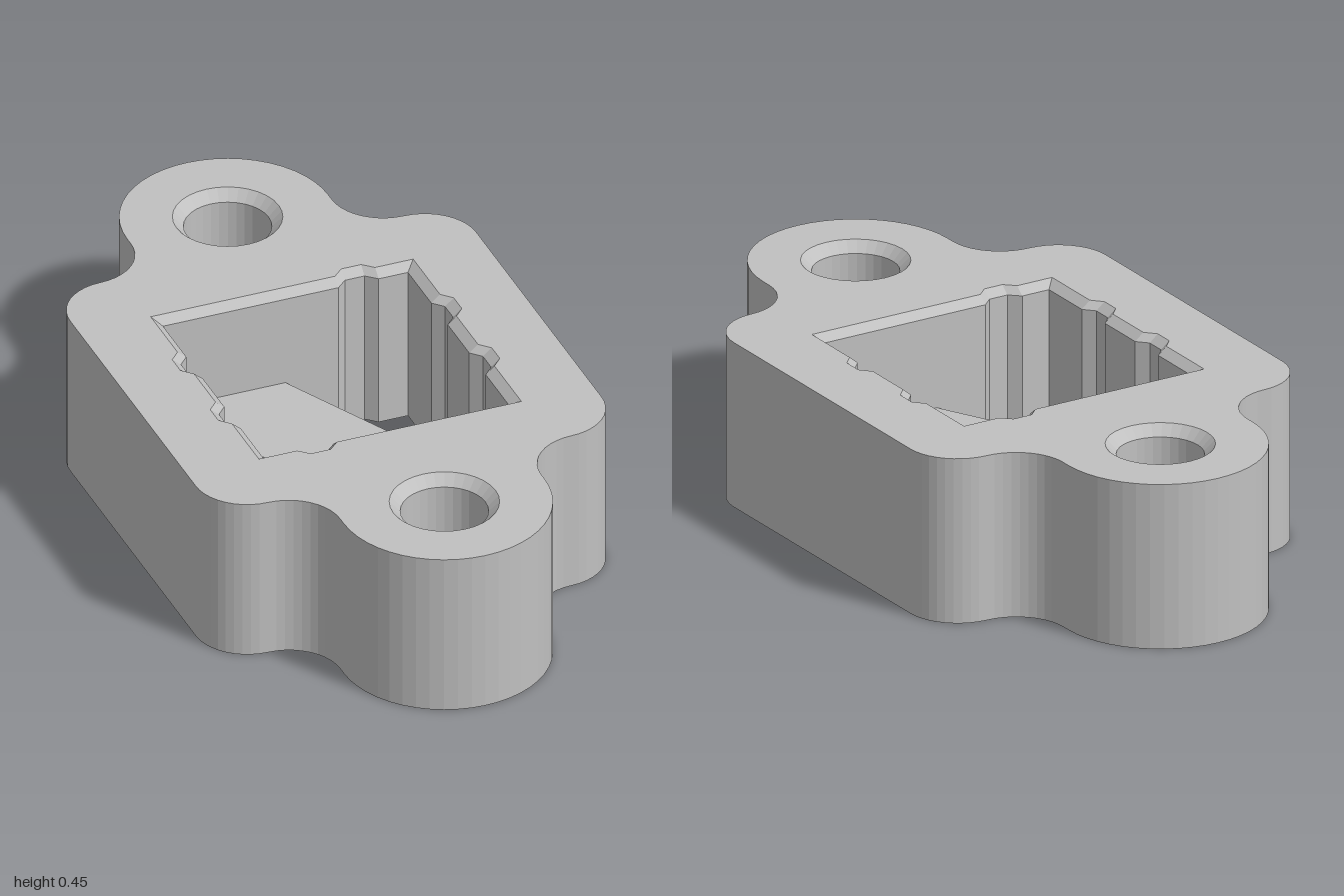
import * as THREE from 'three';

const H = 0.45, CHAMFER_Y = 0.43, FLOOR = 0.18, HOLE_FLOOR = 0.1;
const W = 0.335, D = 0.338, HOLE_Z = 0.725;

const P = (x, z) => new THREE.Vector2(x, z);

// Points are (x, z), running from +x towards +z.
function arc(cx, cz, r, a0, a1, n) {
  return Array.from({ length: n + 1 }, (_, i) => {
    const a = THREE.MathUtils.degToRad(a0 + (a1 - a0) * i / n);
    return P(cx + r * Math.cos(a), cz + r * Math.sin(a));
  });
}
const circle = (z, r) => arc(0, z, r, 0, 360, 32).slice(0, -1);
const withOpposite = half => [...half, ...half.map(p => P(-p.x, -p.y))];

// Rounded body flowing through concave fillets into two round ears
function outlineLoop() {
  const side = [...arc(0.415, 0.42, 0.14, 0, 90, 10), ...arc(0.415, 0.7, 0.14, -90, -180, 10).slice(1)];
  const mirrored = side.map(p => P(-p.x, p.y)).reverse();
  return withOpposite([...side, ...arc(0, HOLE_Z, 0.275, 0, 180, 24), ...mirrored]);
}

// Square pocket with shallow notches, grown outward by o
function pocketLoop(o) {
  const w = W + o, d = D + o;
  const notch = [[-0.055, 0], [-0.027, 0.026], [0.027, 0.026], [0.055, 0]];
  const half = [P(w, -d)];
  for (const c of [-0.127, 0.127]) for (const [t, e] of notch) half.push(P(w + e, c + t));
  half.push(P(w, d));
  for (const [t, e] of notch) half.push(P(-0.2 - t, d + e));
  return withOpposite(half);
}

// Flat-faced band between two loops; faces inward unless outward is set
function band(low, yLow, high, yHigh, outward = false) {
  const pos = [];
  low.forEach((p, i) => {
    const j = (i + 1) % low.length;
    const a = [p.x, yLow, p.y], b = [low[j].x, yLow, low[j].y];
    const c = [high[j].x, yHigh, high[j].y], d = [high[i].x, yHigh, high[i].y];
    pos.push(...(outward ? [a, c, b, a, d, c] : [a, b, c, a, c, d]).flat());
  });
  const g = new THREE.BufferGeometry();
  g.setAttribute('position', new THREE.Float32BufferAttribute(pos, 3));
  g.computeVertexNormals();
  return g;
}

// Horizontal face with holes, facing up or down
function cap(loop, holes, y, up) {
  const s = new THREE.Shape(loop);
  s.holes = holes.map(h => new THREE.Path(h));
  const g = new THREE.ShapeGeometry(s).rotateX(Math.PI / 2).translate(0, y, 0);
  if (up) {
    g.index.array.reverse();
    g.computeVertexNormals();
  }
  return g;
}

export function createModel() {
  const root = new THREE.Group();
  root.name = 'mountingBlock';
  const grey = new THREE.MeshStandardMaterial({ color: 0xc0c0c0 });
  grey.name = 'lightGrey';
  const add = (name, geometry) => {
    const m = new THREE.Mesh(geometry, grey);
    m.name = name;
    root.add(m);
  };

  const outline = outlineLoop();
  const pocket = pocketLoop(0), pocketRim = pocketLoop(0.024);
  const ends = [-HOLE_Z, HOLE_Z];

  // Body shell
  add('outerWall', band(outline, 0, outline, H, true));
  add('topFace', cap(outline, [pocketRim, ...ends.map(z => circle(z, 0.14))], H, true));
  add('bottomFace', cap(outline, [pocket], 0, false));

  // Pocket
  add('pocketChamfer', band(pocket, CHAMFER_Y, pocketRim, H));
  add('pocketWall', band(pocket, 0, pocket, CHAMFER_Y));

  // Diagonal strip across the pocket floor
  const strip = [P(-W, -D), P(0, -D), P(W, D), P(0, D)];
  add('stripTop', cap(strip, [], FLOOR, true));
  add('stripBottom', cap(strip, [], 0, false));
  add('stripSides', band(strip, 0, strip, FLOOR, true));

  // Blind screw holes with chamfered rims
  for (const z of ends) {
    const bore = circle(z, 0.112);
    add('screwHoleChamfer', band(bore, H - 0.028, circle(z, 0.14), H));
    add('screwHoleWall', band(bore, HOLE_FLOOR, bore, H - 0.028));
    add('screwHoleFloor', cap(bore, [], HOLE_FLOOR, true));
  }
  return root;
}
